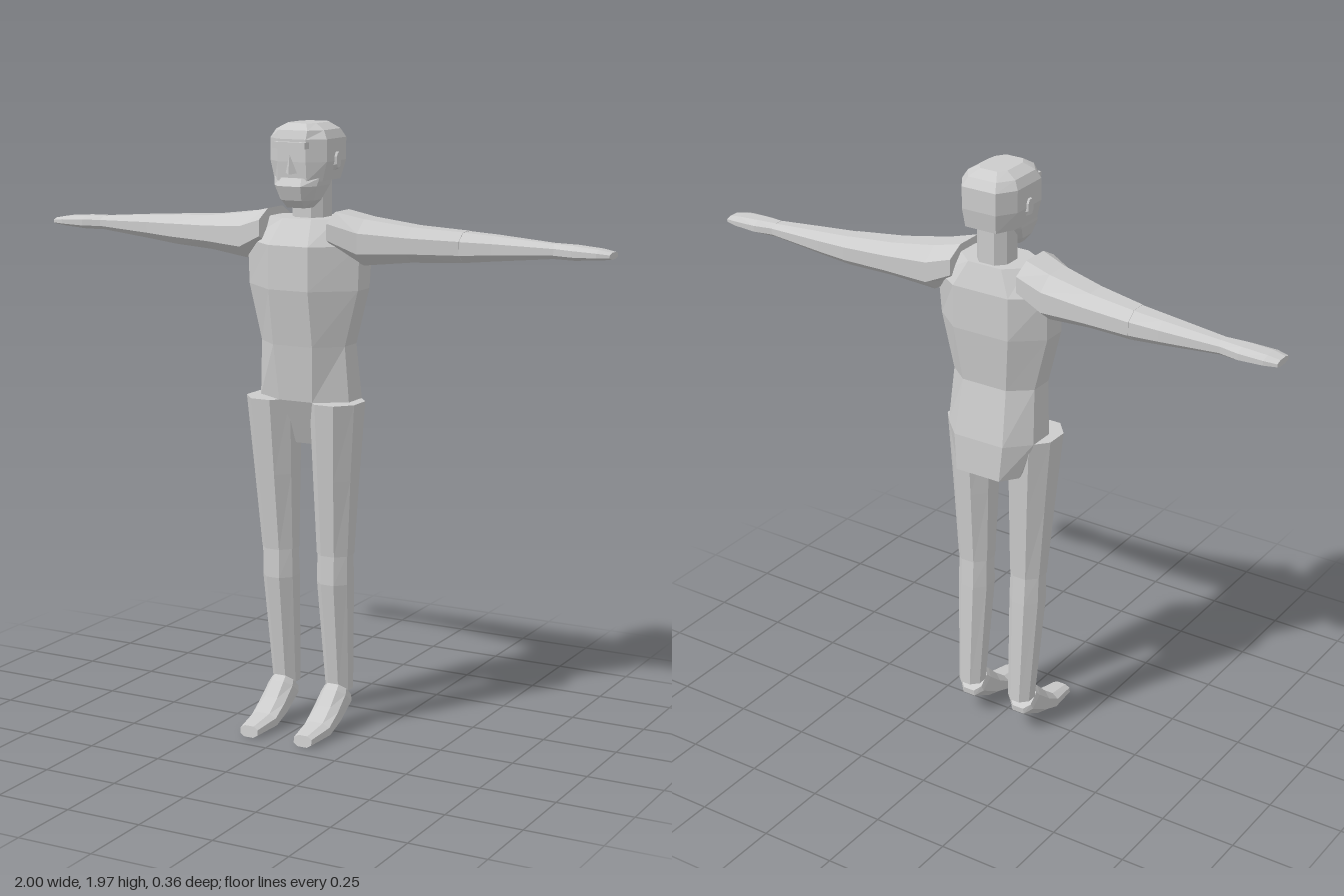
import * as THREE from 'three';

const grey = new THREE.MeshStandardMaterial({ color: 0xcccccc });
grey.name = 'light grey';

// Skin a list of rings (equal point counts), cap both ends, keep facets flat
function loft(name, rings) {
  const n = rings[0].length;
  const tris = [];
  for (let r = 0; r < rings.length - 1; r++) {
    for (let i = 0; i < n; i++) {
      const j = (i + 1) % n;
      const a = rings[r][i], b = rings[r][j], c = rings[r + 1][j], d = rings[r + 1][i];
      tris.push([a, b, c], [a, c, d]);
    }
  }
  const first = rings[0], last = rings[rings.length - 1];
  for (let i = 1; i < n - 1; i++) {
    tris.push([first[0], first[i + 1], first[i]], [last[0], last[i], last[i + 1]]);
  }
  // Turn the faces outward whichever way the rings run
  let volume = 0;
  const cross = new THREE.Vector3();
  for (const [a, b, c] of tris) volume += a.dot(cross.crossVectors(b, c));
  const points = tris.flatMap(([a, b, c]) => (volume < 0 ? [a, c, b] : [a, b, c]));
  const geometry = new THREE.BufferGeometry().setFromPoints(points);
  geometry.computeVertexNormals();
  const mesh = new THREE.Mesh(geometry, grey);
  mesh.name = name;
  return mesh;
}

const V = (x, y, z) => new THREE.Vector3(x, y, z);

// Symmetric body ring from four right-hand points, front to back
function bodyRing(half) {
  const right = half.map(([x, y, z]) => V(x, y, z));
  const left = half.map(([x, y, z]) => V(-x, y, z)).reverse();
  return [...right, ...left];
}

// Level body ring: front width/depth, side width and its two depths, back width/depth
const levelRing = ([y, xf, zf, xs, z1, z2, xb, zb]) =>
  bodyRing([[xf, y, zf], [xs, y, z1], [xs, y, z2], [xb, y, zb]]);

// Chamfered octagon around a centre, spanned by two half-axes
function octagon(centre, u, v, k = 0.5) {
  return [[1, -k], [1, k], [k, 1], [-k, 1], [-1, k], [-1, -k], [-k, -1], [k, -1]]
    .map(([p, q]) => centre.clone().addScaledVector(u, p).addScaledVector(v, q));
}

function makeTorso() {
  const levels = [
    [1.10, 0.06, 0.05, 0.16, -0.01, -0.10, 0.09, -0.17],
    [1.28, 0.07, 0.07, 0.15, 0.00, -0.08, 0.08, -0.135],
    [1.46, 0.07, 0.10, 0.195, 0.00, -0.08, 0.10, -0.155],
    [1.60, 0.07, 0.10, 0.20, 0.00, -0.09, 0.10, -0.155],
    [1.68, 0.05, 0.04, 0.12, 0.00, -0.08, 0.06, -0.13],
  ];
  const crotch = bodyRing([[0.035, 0.95, -0.02], [0.11, 0.98, -0.07], [0.12, 0.98, -0.12], [0.08, 0.98, -0.175]]);
  return loft('torso', [crotch, ...levels.map(levelRing)]);
}

function makeHead() {
  const head = new THREE.Group();
  head.name = 'head';
  head.add(loft('neck', [1.64, 1.80].map((y) =>
    octagon(V(0, y, -0.06), V(0.055, 0, 0), V(0, 0, 0.058)))));
  // Cranium, undercut at the back
  head.add(loft('skull', [
    [1.80, 0.05, 0.07, 0.085, 0.03, -0.09, 0.055, -0.15],
    [1.86, 0.05, 0.075, 0.10, 0.03, -0.10, 0.06, -0.16],
    [1.93, 0.05, 0.075, 0.10, 0.03, -0.10, 0.06, -0.16],
    [1.957, 0.05, 0.065, 0.085, 0.02, -0.09, 0.05, -0.14],
    [1.977, 0.03, 0.035, 0.05, 0.005, -0.08, 0.03, -0.105],
  ].map(levelRing)));
  // Jaw tapering to the chin
  head.add(loft('jaw', [
    [1.715, 0.03, 0.05, 0.04, 0.03, 0.005, 0.03, -0.005],
    [1.74, 0.035, 0.075, 0.06, 0.04, -0.01, 0.04, -0.03],
    [1.785, 0.04, 0.092, 0.075, 0.05, -0.04, 0.05, -0.06],
    [1.81, 0.035, 0.075, 0.08, 0.04, -0.05, 0.05, -0.07],
  ].map(levelRing)));
  const nose = new THREE.Mesh(new THREE.ConeGeometry(0.02, 0.06, 4).toNonIndexed(), grey);
  nose.geometry.computeVertexNormals();
  nose.name = 'nose';
  nose.position.set(0, 1.855, 0.082);
  nose.rotation.x = 0.2;
  head.add(nose);
  const brow = new THREE.Mesh(new THREE.BoxGeometry(0.115, 0.02, 0.035), grey);
  brow.name = 'brow';
  brow.position.set(0, 1.912, 0.078);
  head.add(brow);
  for (const s of [1, -1]) {
    head.add(loft('ear', [
      octagon(V(s * 0.09, 1.86, -0.035), V(0, 0.03, 0), V(0, 0, 0.018)),
      octagon(V(s * 0.107, 1.862, -0.038), V(0, 0.024, 0), V(0, 0, 0.013)),
    ]));
  }
  return head;
}

// Arm rings: x, bottom, top, back, front
function makeArm(s) {
  const rings = (rows) => rows.map(([x, y0, y1, z0, z1]) => octagon(
    V(s * x, (y0 + y1) / 2, (z0 + z1) / 2), V(0, (y1 - y0) / 2, 0), V(0, 0, (z1 - z0) / 2), 0.45));
  const arm = new THREE.Group();
  arm.name = s > 0 ? 'leftArm' : 'rightArm';
  arm.add(loft('upperArm', rings([
    [0.12, 1.59, 1.705, -0.14, 0.07],
    [0.21, 1.54, 1.685, -0.145, 0.04],
    [0.36, 1.555, 1.665, -0.15, 0.0],
    [0.52, 1.56, 1.655, -0.155, -0.04],
  ])));
  arm.add(loft('forearm', rings([
    [0.52, 1.56, 1.654, -0.153, -0.042],
    [0.62, 1.57, 1.648, -0.152, -0.055],
    [0.83, 1.59, 1.632, -0.14, -0.078],
  ])));
  arm.add(loft('hand', rings([
    [0.81, 1.588, 1.634, -0.14, -0.078],
    [0.88, 1.588, 1.632, -0.152, -0.063],
    [0.96, 1.594, 1.626, -0.15, -0.06],
    [1.0, 1.598, 1.619, -0.14, -0.07],
  ])));
  return arm;
}

// Leg rings: height, inner, outer, back, front
function makeLeg(s) {
  const rings = (rows) => rows.map(([y, x0, x1, z0, z1]) => octagon(
    V(s * (x0 + x1) / 2, y, (z0 + z1) / 2), V((x1 - x0) / 2, 0, 0), V(0, 0, (z1 - z0) / 2), 0.42));
  const leg = new THREE.Group();
  leg.name = s > 0 ? 'leftLeg' : 'rightLeg';
  leg.add(loft('thigh', rings([
    [1.10, 0.035, 0.195, -0.11, 0.075],
    [0.85, 0.04, 0.175, -0.10, 0.05],
    [0.595, 0.045, 0.157, -0.09, 0.022],
  ])));
  leg.add(loft('shin', rings([
    [0.60, 0.047, 0.155, -0.088, 0.02],
    [0.50, 0.045, 0.155, -0.095, 0.022],
    [0.13, 0.057, 0.14, -0.112, -0.028],
  ])));
  // Foot rings: half width, bottom y and z, top y and z
  leg.add(loft('foot', [
    [0.04, 0.095, -0.092, 0.155, -0.025],
    [0.045, 0.075, -0.09, 0.14, -0.005],
    [0.046, 0.028, 0.0, 0.095, 0.04],
    [0.045, 0.005, 0.075, 0.057, 0.09],
    [0.032, 0.003, 0.187, 0.04, 0.182],
  ].map(([w, y0, z0, y1, z1]) => octagon(
    V(s * 0.099, (y0 + y1) / 2, (z0 + z1) / 2),
    V(w, 0, 0), V(0, (y1 - y0) / 2, (z1 - z0) / 2)))));
  return leg;
}

export function createModel() {
  const model = new THREE.Group();
  model.name = 'figure';
  model.add(makeTorso(), makeHead());
  for (const s of [1, -1]) model.add(makeArm(s), makeLeg(s));
  return model;
}
